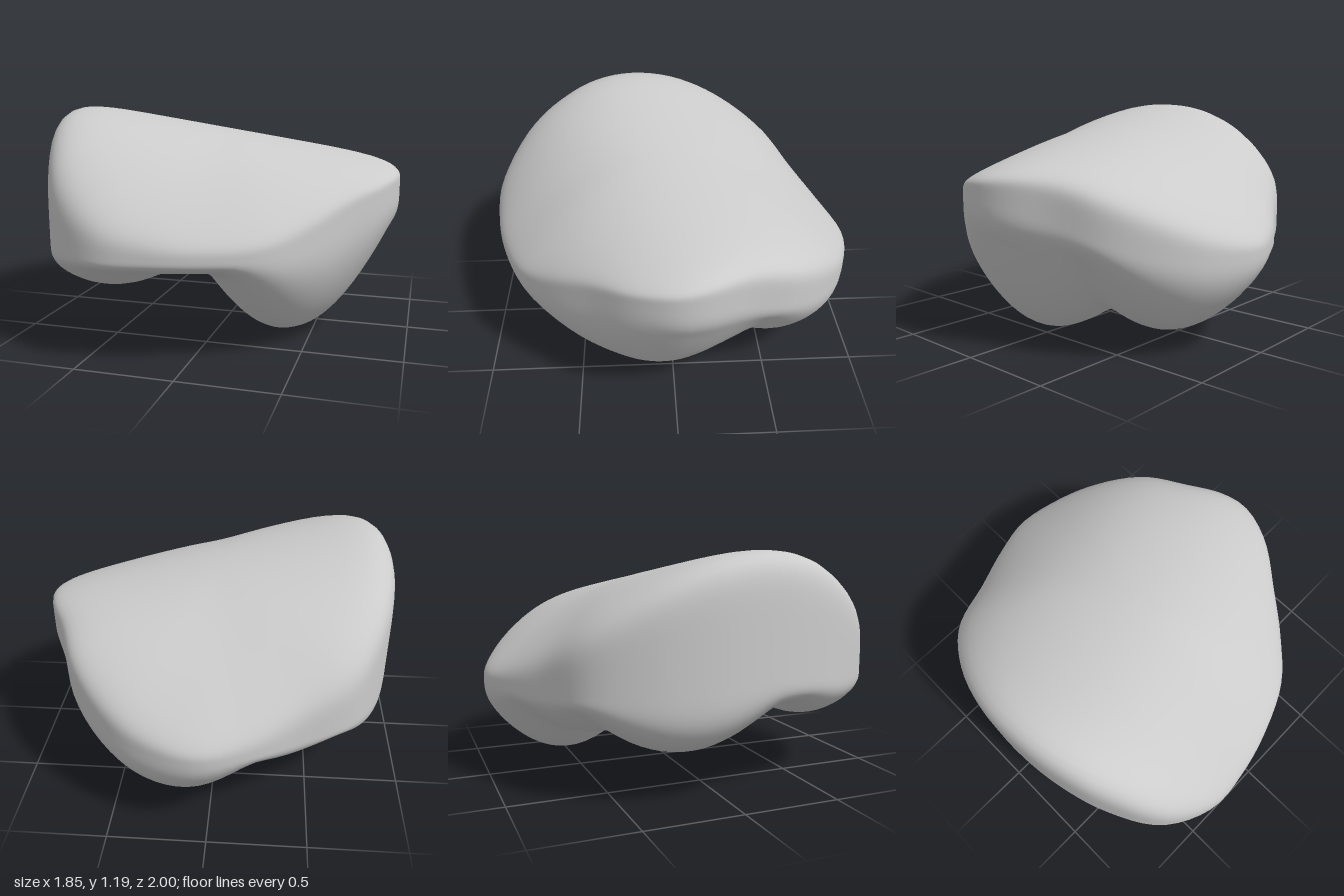
import * as THREE from 'three';

// Widest outline seen from above, as x, z pairs, counter-clockwise
const OUTLINE = [
  [0.925, 0], [0.9, -0.15], [0.8, -0.36], [0.7, -0.6], [0.55, -0.78], [0.35, -0.92], [0.05, -1], [-0.2, -0.93],
  [-0.45, -0.8], [-0.7, -0.66], [-0.85, -0.42], [-0.92, -0.15], [-0.925, 0.1], [-0.89, 0.35], [-0.81, 0.6],
  [-0.65, 0.86], [-0.4, 0.99], [-0.15, 0.98], [0.1, 0.92], [0.37, 0.8], [0.55, 0.62], [0.7, 0.42], [0.86, 0.2],
];

// Rounded lobes under the stone: x, z, lowest y, curvature in x, curvature in z
const LOBES = [
  [0.41, 0.14, 0, 1.9, 0.8],
  [0.2, -0.62, 0.06, 1.4, 1.2],
  [-0.68, -0.2, 0.23, 0.9, 1],
  [-0.5, 0.62, 0.32, 0.9, 1.3],
  // Filled saddle at the back between two lobes
  [-0.25, -0.55, 0.27, 1.2, 1.2],
  // Hollow in the middle
  [0, 0, 0.45, 0, 0],
];

// Sloping top: a ridge falling towards +x, steeper in front than behind
function topHeight(x, z) {
  const d = z - (0.07 - 0.27 * x);
  return 1.095 - 0.185 * x - (d > 0 ? 0.46 : 0.36) * d * d;
}

// Underside: soft minimum of the lobes
function bottomHeight(x, z) {
  const k = 0.025;
  let sum = 0;
  for (const [cx, cz, y, a, b] of LOBES) {
    sum += Math.exp(-(y + a * (x - cx) ** 2 + b * (z - cz) ** 2) / k);
  }
  return -k * Math.log(sum);
}

function stoneGeometry(rows = 64, cols = 96) {
  const curve = new THREE.CatmullRomCurve3(OUTLINE.map(([x, z]) => new THREE.Vector3(x, 0, z)), true);
  const rim = curve.getSpacedPoints(cols).slice(0, cols);
  const positions = [], index = [];
  for (let i = 0; i <= rows; i++) {
    const a = (i / rows) * Math.PI;
    const s = Math.sin(a), c = Math.abs(Math.cos(a));
    const upper = i <= rows / 2;
    for (let j = 0; j < cols; j++) {
      const p = rim[j];
      const cos = p.x / Math.hypot(p.x, p.z), cos2 = cos * cos;
      // Squarer shoulders at the two ends, rounder front and back
      const n = upper ? 3.1 + 5.5 * cos2 : 3 + (cos < 0 ? 2 * cos2 : 0);
      const len = (s ** n + c ** n) ** (1 / n);
      const rho = s / len, edge = c / len;
      const x = p.x * rho, z = p.z * rho;
      const mid = 0.55 + 0.17 * cos2 * cos2 + 0.06 * cos * cos2 + 0.02 * p.z;
      const y = upper
        ? mid + Math.max(topHeight(x, z) - mid, 0.06) * edge
        : mid + (bottomHeight(x, z) - mid) * edge;
      positions.push(x, y, z);
      if (i < rows) {
        const q = (j + 1) % cols, r = i * cols, t = r + cols;
        if (i < rows - 1) index.push(r + j, t + j, t + q);
        if (i > 0) index.push(r + j, t + q, r + q);
      }
    }
  }
  const geometry = new THREE.BufferGeometry();
  geometry.setAttribute('position', new THREE.Float32BufferAttribute(positions, 3));
  geometry.setIndex(index);
  // Rest the lowest lobe on the ground
  geometry.computeBoundingBox();
  geometry.translate(0, -geometry.boundingBox.min.y, 0);
  geometry.computeVertexNormals();
  return geometry;
}

export function createModel() {
  const group = new THREE.Group();
  const stone = new THREE.Mesh(stoneGeometry(), new THREE.MeshStandardMaterial({ color: 0xcccccc }));
  stone.name = 'stone';
  group.add(stone);
  return group;
}
